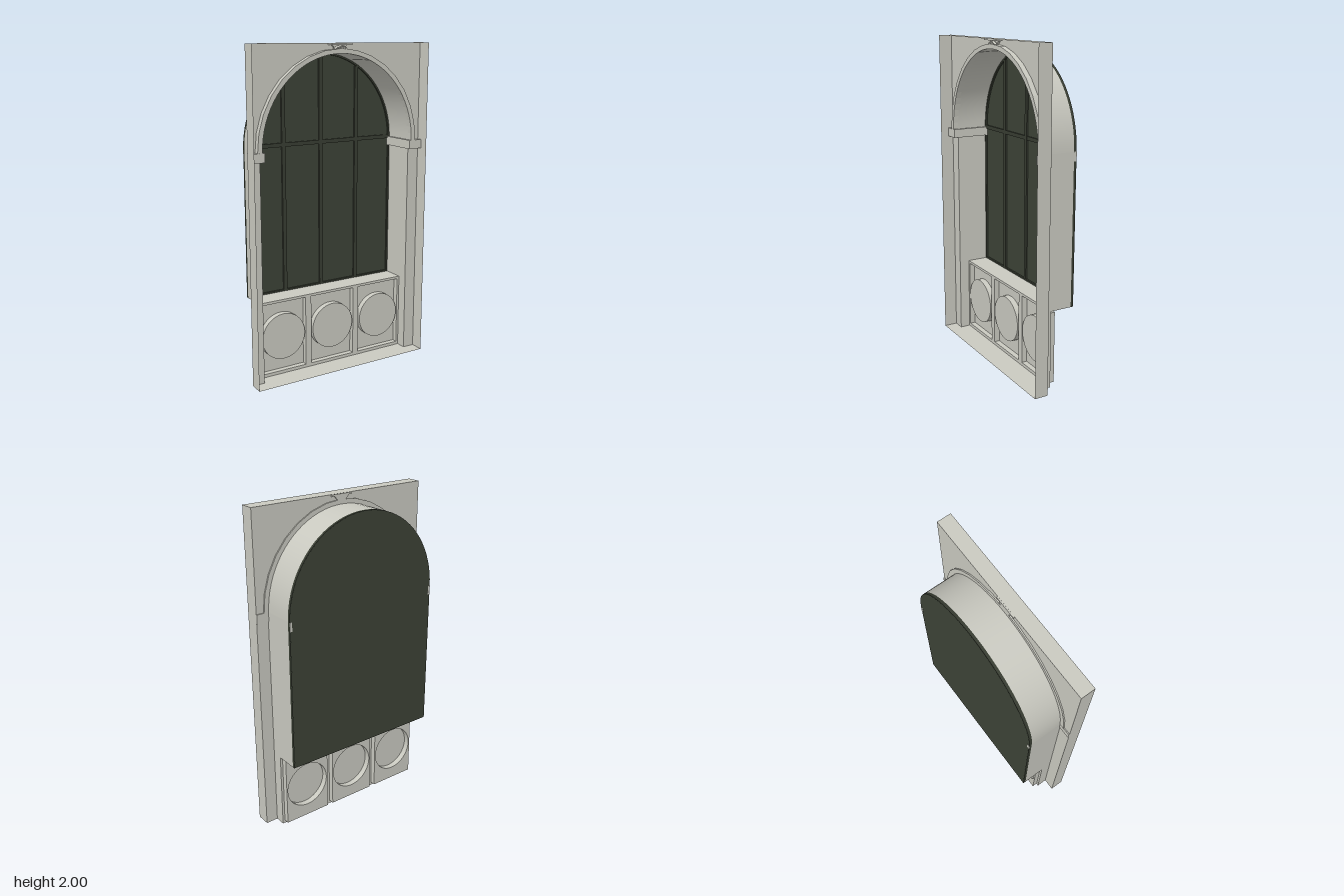
import * as THREE from 'three';

const stone = new THREE.MeshStandardMaterial({ color: 0xc9c9c0, side: THREE.DoubleSide });
stone.name = 'pale stone';
const glassMat = new THREE.MeshStandardMaterial({ color: 0x3c4236 });
glassMat.name = 'dark green glass';
const frameMat = new THREE.MeshStandardMaterial({ color: 0x383d32 });
frameMat.name = 'dark green frame';

// Main dimensions
const HALF_W = 0.597, TOP = 2, FRONT = 0.152, WALL = 0.066, BACK = -0.152;
const OPEN = 0.52, SILL = 0.48, SPRING = 1.4, RISE = 0.54, GLAZE = -0.135;

// Half-ellipse from right springing over the crown to the left springing
function arc(rx, ry, n, cy = SPRING) {
  return Array.from({ length: n + 1 }, (_, i) => {
    const a = (Math.PI * i) / n;
    return new THREE.Vector2(rx * Math.cos(a), cy + ry * Math.sin(a));
  });
}

function rect(x0, x1, y0, y1) {
  return [[x0, y0], [x1, y0], [x1, y1], [x0, y1]].map(p => new THREE.Vector2(...p));
}

// Open sheet swept along z from an outline in x, y (smooth normals)
function strip(pts, z0, z1) {
  const pos = [], idx = [];
  pts.forEach((p, i) => {
    pos.push(p.x, p.y, z0, p.x, p.y, z1);
    if (i) {
      const a = 2 * i - 2;
      idx.push(a, a + 2, a + 1, a + 1, a + 2, a + 3);
    }
  });
  const g = new THREE.BufferGeometry();
  g.setAttribute('position', new THREE.Float32BufferAttribute(pos, 3));
  g.setIndex(idx);
  g.computeVertexNormals();
  return g;
}

function shapeWithHoles(outline, holes = []) {
  const s = new THREE.Shape(outline);
  s.holes = holes.map(h => new THREE.Path(h));
  return s;
}

function extrude(shape, z0, z1) {
  return new THREE.ExtrudeGeometry(shape, { depth: z1 - z0, bevelEnabled: false }).translate(0, 0, z0);
}

function box(x0, x1, y0, y1, z0, z1) {
  return new THREE.BoxGeometry(x1 - x0, y1 - y0, z1 - z0)
    .translate((x0 + x1) / 2, (y0 + y1) / 2, (z0 + z1) / 2);
}

export function createModel() {
  const model = new THREE.Group();
  model.name = 'archedWindowBay';
  const add = (name, geometry, material = stone, parent = model) => {
    const m = new THREE.Mesh(geometry, material);
    m.name = name;
    parent.add(m);
    return m;
  };
  const line = (...p) => p.map(q => new THREE.Vector2(...q));

  // Recessed wall face, cut through by the arched opening
  add('wallFace', new THREE.ShapeGeometry(new THREE.Shape([
    ...line([-HALF_W, 0], [-HALF_W, TOP], [HALF_W, TOP], [HALF_W, 0], [OPEN, 0]),
    ...arc(OPEN, RISE, 40),
    ...line([-OPEN, 0]),
  ])).translate(0, 0, WALL));

  // Thin surround, open at the front
  add('surroundTop', strip(line([HALF_W, TOP], [-HALF_W, TOP]), FRONT, WALL));
  add('surroundBottom', strip(line([-HALF_W, 0], [HALF_W, 0]), FRONT, WALL));
  add('openingFloor', strip(line([-OPEN, 0], [OPEN, 0]), WALL, 0));

  // Deep reveal and sill
  add('archReveal', strip(arc(OPEN, RISE, 40), WALL, GLAZE));
  add('sill', strip(line([-OPEN, SILL], [OPEN, SILL]), 0, BACK + 0.004));

  for (const s of [1, -1]) {
    const side = new THREE.Group();
    side.name = s > 0 ? 'leftSide' : 'rightSide';
    model.add(side);
    add('surroundSide', strip(line([s * HALF_W, 0], [s * HALF_W, TOP]), FRONT, WALL), stone, side);
    add('lowerReveal', strip(line([s * OPEN, 0], [s * OPEN, SILL]), WALL, 0), stone, side);
    add('upperReveal', strip(line([s * OPEN, SILL], [s * OPEN, SPRING]), WALL, GLAZE), stone, side);
    // Impost block with its return along the reveal
    const xs = (a, b) => (s > 0 ? [a, b] : [-b, -a]);
    add('impostBlock', box(...xs(0.505, HALF_W), 1.345, SPRING, 0.06, 0.1), stone, side);
    add('impostReturn', box(...xs(0.505, OPEN), 1.345, SPRING, BACK - 0.001, 0.06), stone, side);
  }

  // Archivolt band around the arch
  add('archivolt', extrude(new THREE.Shape([
    ...arc(0.55, 0.568, 16),
    ...arc(OPEN, RISE, 40).reverse(),
  ]), 0.058, 0.099));

  // Scalloped keystone: ribs fanning up to a small cap
  const keystone = new THREE.Group();
  keystone.name = 'keystone';
  model.add(keystone);
  for (let i = -3; i <= 3; i++) {
    const lean = i * 0.2;
    const g = new THREE.CylinderGeometry(0.009, 0.003, 0.048, 8);
    g.translate(0, 0.024, 0).rotateX(0.45).rotateZ(-lean * 1.25);
    g.translate(i * 0.003, 1.94, 0.074);
    add('rib', g, stone, keystone);
  }
  add('cap', box(-0.07, 0.07, 1.988, 1.999, 0.058, 0.108), stone, keystone);
  add('core', extrude(new THREE.Shape(line([-0.008, 1.94], [0.008, 1.94], [0.05, 1.988], [-0.05, 1.988])), 0.058, 0.08), stone, keystone);

  // Base panelling: frame, sunk squares and raised roundels
  const centres = [-0.35, 0, 0.35];
  const squares = centres.map(x => rect(x - 0.155, x + 0.155, 0.02, 0.464));
  add('panelFrame', new THREE.ShapeGeometry(shapeWithHoles(rect(-OPEN, OPEN, 0, SILL), squares)));
  const sunk = -0.035, raised = 0.003;
  centres.forEach((x, i) => {
    const circle = Array.from({ length: 49 }, (_, k) => {
      const a = (k * Math.PI * 2) / 48;
      return new THREE.Vector2(x + 0.146 * Math.cos(a), 0.243 + 0.146 * Math.sin(a));
    });
    const panel = new THREE.Group();
    panel.name = 'basePanel' + (i + 1);
    model.add(panel);
    add('sunkField', new THREE.ShapeGeometry(shapeWithHoles(squares[i], [circle.slice(0, 48)])).translate(0, 0, sunk), stone, panel);
    squares[i].forEach((p, k, all) => add('fieldEdge', strip([p, all[(k + 1) % 4]], 0, sunk), stone, panel));
    add('roundelEdge', strip(circle, raised, sunk), stone, panel);
    add('roundelFace', new THREE.CircleGeometry(0.146, 48).translate(x, 0.243, raised), stone, panel);
  });

  // Glazing: pane, outer frame and glazing bars
  const outline = (inset) => [
    ...line([-OPEN + inset, SILL + inset], [OPEN - inset, SILL + inset]),
    ...arc(OPEN - inset, RISE - inset, 40),
  ];
  add('glassPane', extrude(new THREE.Shape(outline(0.003)), BACK, -0.146), glassMat);
  add('windowFrame', extrude(shapeWithHoles(outline(0), [outline(0.01)]), BACK + 0.0005, GLAZE), frameMat);
  for (const x of [-0.26, 0, 0.26]) {
    const top = SPRING + RISE * Math.sqrt(1 - ((Math.abs(x) + 0.012) / OPEN) ** 2) - 0.004;
    add('uprightBar', box(x - 0.012, x + 0.012, SILL + 0.004, top, -0.15, GLAZE - 0.001), frameMat);
  }
  add('crossBar', box(-OPEN + 0.005, OPEN - 0.005, 1.388, 1.412, -0.15, GLAZE - 0.002), frameMat);

  return model;
}
